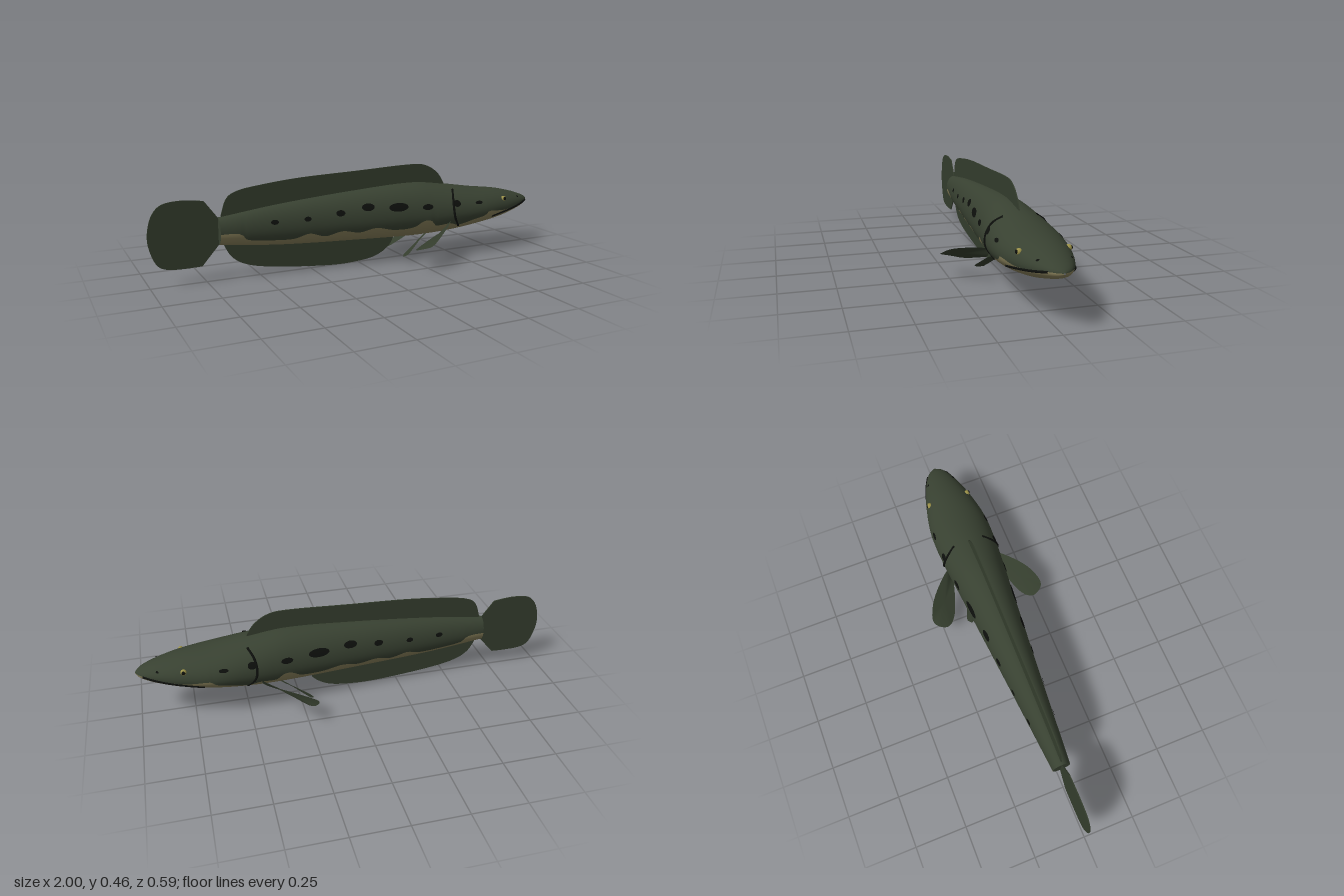
import * as THREE from 'three';

// Body stations: x, top y, bottom y, half width, y of widest point
const BODY = [
  [-0.69, 0.29, 0.165, 0.043, 0.225], [-0.4, 0.327, 0.135, 0.067, 0.225],
  [0, 0.36, 0.116, 0.102, 0.225], [0.3, 0.373, 0.107, 0.129, 0.225],
  [0.48, 0.352, 0.115, 0.145, 0.222], [0.65, 0.325, 0.136, 0.146, 0.222],
  [0.8, 0.305, 0.16, 0.117, 0.225], [0.9, 0.282, 0.186, 0.083, 0.23],
  [0.96, 0.262, 0.205, 0.052, 0.235], [0.985, 0.25, 0.217, 0.03, 0.235],
  [1, 0.238, 0.231, 0.004, 0.235],
];
// Wavy line where the dark back meets the pale belly: x, y
const EDGE = [
  [-0.69, 0.22], [-0.6, 0.215], [-0.57, 0.185], [-0.45, 0.17], [-0.35, 0.168], [-0.28, 0.188],
  [-0.2, 0.166], [-0.12, 0.185], [-0.03, 0.17], [0.05, 0.186], [0.15, 0.166], [0.25, 0.17],
  [0.3, 0.2], [0.34, 0.198], [0.37, 0.17], [0.45, 0.175], [0.5, 0.16], [0.58, 0.182],
  [0.65, 0.2], [0.67, 0.218], [0.75, 0.213], [0.8, 0.211], [0.9, 0.226], [0.97, 0.236], [1, 0.236],
];

// Smooth (Hermite) lookup of column c in a table sorted by x
function sample(table, x, c) {
  let i = 0;
  while (i < table.length - 2 && x > table[i + 1][0]) i++;
  const slope = (k) => {
    const a = table[Math.max(k - 1, 0)], b = table[Math.min(k + 1, table.length - 1)];
    return (b[c] - a[c]) / (b[0] - a[0]);
  };
  const p = table[i], q = table[i + 1], d = q[0] - p[0], t = (x - p[0]) / d;
  const t2 = t * t, t3 = t2 * t;
  return (2 * t3 - 3 * t2 + 1) * p[c] + (t3 - 2 * t2 + t) * d * slope(i)
    + (3 * t2 - 2 * t3) * q[c] + (t3 - t2) * d * slope(i + 1);
}

function section(x) {
  const [top, bottom, w, mid] = [1, 2, 3, 4].map((c) => sample(BODY, x, c));
  return { up: top - mid, down: mid - bottom, w, mid };
}

// Half width of the body at height y
function surfaceZ(x, y) {
  const s = section(x);
  const k = (y - s.mid) / (y > s.mid ? s.up : s.down);
  return s.w * Math.sqrt(Math.max(0, 1 - k * k));
}

// Loft of either the back (above the edge line) or the belly (below it)
function loft(isBack) {
  const nx = 160, nt = 28, pos = [], idx = [];
  for (let i = 0; i <= nx; i++) {
    const x = -0.69 + 1.69 * Math.sin((i / nx) * Math.PI / 2);
    const s = section(x);
    const k = sample(EDGE, x, 1) - s.mid;
    const a = Math.asin(THREE.MathUtils.clamp(k / (k > 0 ? s.up : s.down), -0.95, 0.95));
    const t0 = isBack ? a : Math.PI - a, t1 = isBack ? Math.PI - a : 2 * Math.PI + a;
    for (let j = 0; j <= nt; j++) {
      const t = t0 + (t1 - t0) * j / nt, sn = Math.sin(t);
      pos.push(x, s.mid + (sn > 0 ? s.up : s.down) * sn, s.w * Math.cos(t));
      if (i < nx && j < nt) {
        const p = i * (nt + 1) + j, q = p + nt + 1;
        idx.push(p, q, p + 1, q, q + 1, p + 1);
      }
    }
  }
  return indexed(pos, idx);
}

function indexed(pos, idx) {
  const g = new THREE.BufferGeometry();
  g.setAttribute('position', new THREE.Float32BufferAttribute(pos, 3));
  g.setIndex(idx);
  g.computeVertexNormals();
  return g;
}

// Upright fin in the middle plane: smooth rim, straight root
function uprightFin(rim, root) {
  const curve = new THREE.SplineCurve(rim.map((p) => new THREE.Vector2(...p)));
  const pts = curve.getPoints(60).concat(root.map((p) => new THREE.Vector2(...p)));
  const g = new THREE.ExtrudeGeometry(new THREE.Shape(pts), { depth: 0.005, bevelEnabled: false });
  return g.translate(0, 0, -0.0025);
}

// Paired fin: fan inside a smooth closed outline
function pairedFin(outline, side, tension) {
  const curve = new THREE.CatmullRomCurve3(
    outline.map(([x, y, z]) => new THREE.Vector3(x, y, z * side)), true, 'catmullrom', tension);
  const rim = curve.getPoints(40).slice(0, 40);
  const mid = rim.reduce((m, p) => m.add(p), new THREE.Vector3()).divideScalar(40);
  const idx = rim.flatMap((_, i) => [0, 1 + i, 1 + ((i + 1) % 40)]);
  return indexed([mid, ...rim].flatMap((p) => p.toArray()), idx);
}

// Thin oval lying on the flank
function flankSpot(x, y, rx, ry, side, lift = 0.003) {
  const g = new THREE.RingGeometry(0, 1, 24, 4), p = g.attributes.position;
  for (let i = 0; i < p.count; i++) {
    const px = x + p.getX(i) * rx, py = y + p.getY(i) * ry;
    p.setXYZ(i, px, py + lift * 0.5, side * (surfaceZ(px, py) + lift));
  }
  g.computeVertexNormals();
  return g;
}

// Thin line following the flank
function flankLine(points, side, radius) {
  const curve = new THREE.CatmullRomCurve3(
    points.map(([x, y]) => new THREE.Vector3(x, y, side * surfaceZ(x, y))));
  return new THREE.TubeGeometry(curve, 32, radius, 6);
}

export function createModel() {
  const fish = new THREE.Group();
  fish.name = 'fish';
  const material = (name, color, double) => {
    const m = new THREE.MeshStandardMaterial({ color });
    m.name = name;
    if (double) m.side = THREE.DoubleSide;
    return m;
  };
  const back = material('dark olive skin', 0x384131);
  const belly = material('pale belly', 0x857d58);
  const fin = material('olive fin', 0x343d2d, true);
  const black = material('black marking', 0x0d0f0c, true);
  const iris = material('yellow iris', 0x9a9048);
  const add = (name, geometry, mat) => {
    const mesh = new THREE.Mesh(geometry, mat);
    mesh.name = name;
    fish.add(mesh);
    return mesh;
  };

  // Body
  add('back', loft(true), back);
  add('belly', loft(false), belly);
  const cap = add('tailStump', new THREE.CircleGeometry(1, 32).rotateY(-Math.PI / 2), back);
  cap.scale.set(1, 0.062, 0.043);
  cap.position.set(-0.69, 0.2275, 0);

  // Middle fins
  add('dorsalFin', uprightFin([[0.49, 0.34], [0.45, 0.405], [0.38, 0.452], [0.28, 0.463], [0, 0.452],
    [-0.3, 0.44], [-0.5, 0.42], [-0.6, 0.402], [-0.65, 0.37], [-0.675, 0.3]],
  [[-0.675, 0.26], [0, 0.32], [0.46, 0.32]]), fin);
  add('analFin', uprightFin([[0.2, 0.12], [0.17, 0.065], [0.1, 0.022], [0, 0.005], [-0.15, 0.003],
    [-0.4, 0.027], [-0.55, 0.055], [-0.63, 0.1], [-0.675, 0.18]],
  [[-0.67, 0.21], [0, 0.16], [0.2, 0.14]]), fin);
  add('tailFin', uprightFin([[-0.75, 0.37], [-0.845, 0.38], [-0.93, 0.37], [-0.975, 0.33],
    [-0.998, 0.26], [-0.998, 0.19], [-0.97, 0.11], [-0.925, 0.08], [-0.845, 0.074], [-0.768, 0.076]],
  [[-0.69, 0.165], [-0.67, 0.2], [-0.67, 0.25], [-0.69, 0.29]]), fin);

  const spots = [[-0.445, 0.255, 0.018, 0.011], [-0.29, 0.257, 0.017, 0.011], [-0.13, 0.271, 0.022, 0.014],
    [0.01, 0.288, 0.032, 0.017], [0.165, 0.277, 0.05, 0.02], [0.318, 0.267, 0.028, 0.014],
    [0.48, 0.272, 0.021, 0.016], [0.61, 0.266, 0.022, 0.008]];

  for (const side of [1, -1]) {
    const tag = side > 0 ? 'Near' : 'Far';

    // Paired fins
    add('pectoralFin' + tag, pairedFin([[0.45, 0.187, 0.13], [0.39, 0.18, 0.2], [0.32, 0.158, 0.26],
      [0.25, 0.12, 0.293], [0.21, 0.105, 0.275], [0.197, 0.09, 0.227], [0.243, 0.09, 0.18],
      [0.35, 0.12, 0.137], [0.42, 0.145, 0.122]], side, 0.5), fin);
    add('pelvicFin' + tag, pairedFin([[0.36, 0.128, 0.06], [0.3, 0.1, 0.088], [0.215, 0.042, 0.124],
      [0.195, 0.028, 0.105], [0.215, 0.035, 0.08], [0.29, 0.08, 0.06], [0.34, 0.118, 0.055]], side, 0.2), fin);

    // Flank spots, gill slit and mouth
    spots.forEach((s, i) => add('flankSpot' + tag + (i + 1), flankSpot(...s, side), black));
    add('gillSlit' + tag, flankLine([[0.49, 0.333], [0.468, 0.3], [0.46, 0.25], [0.468, 0.205], [0.505, 0.155]],
      side, 0.006), black);
    add('mouth' + tag, flankLine([[0.7, 0.187], [0.76, 0.198], [0.85, 0.213], [0.92, 0.226], [0.965, 0.235]],
      side, 0.0055), black);
    add('nostril' + tag, flankSpot(0.9, 0.262, 0.006, 0.004, side), black);

    // Eye
    const z = surfaceZ(0.785, 0.266);
    const ball = add('eye' + tag, new THREE.SphereGeometry(0.014, 20, 14), iris);
    ball.position.set(0.785, 0.266, side * (z - 0.003));
    const pupil = add('pupil' + tag, new THREE.SphereGeometry(0.0095, 16, 12), black);
    pupil.position.set(0.786, 0.267, side * (z + 0.004));
  }
  return fish;
}
